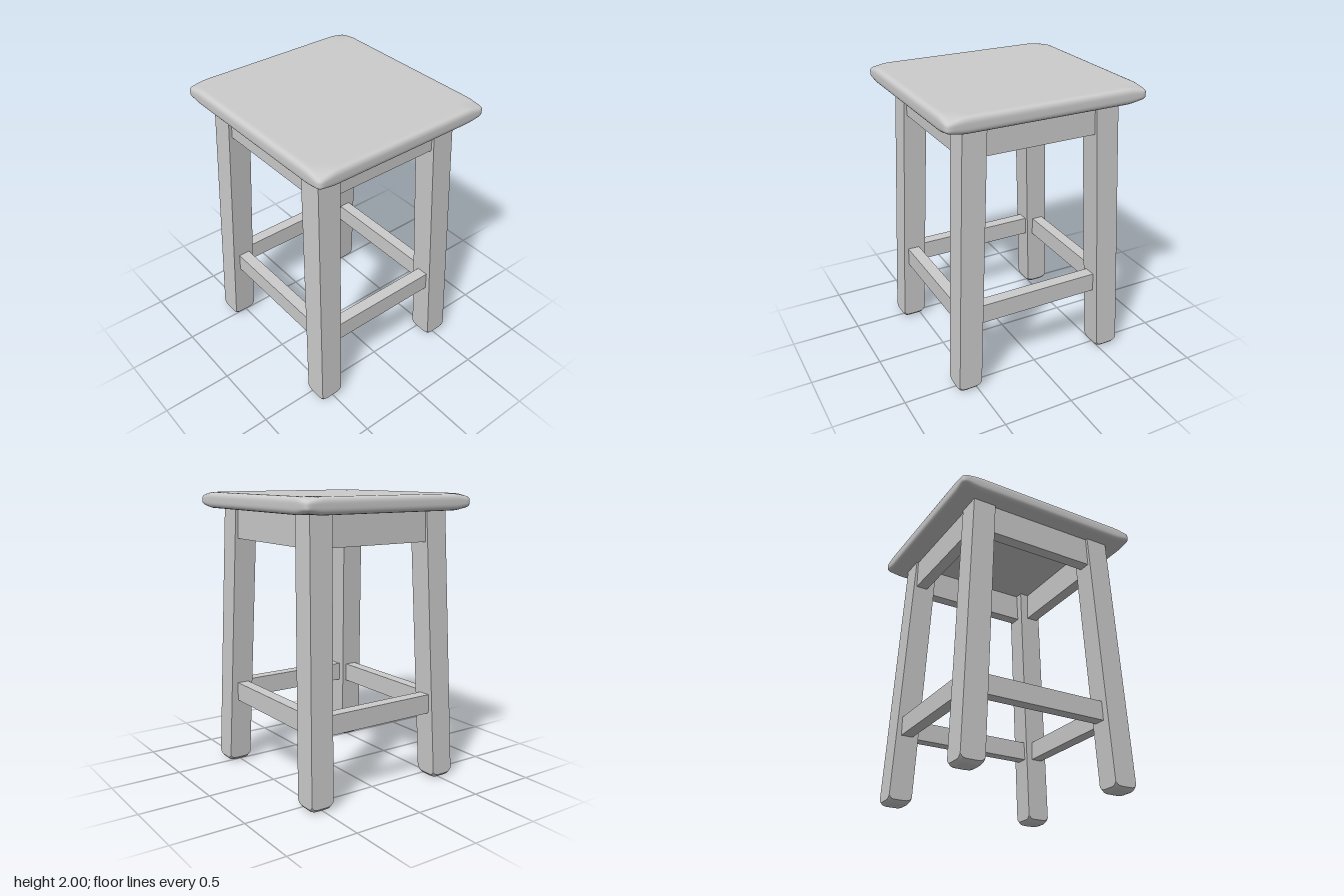
import * as THREE from 'three';
import { mergeVertices } from 'three/addons/utils/BufferGeometryUtils.js';

const material = new THREE.MeshStandardMaterial({ color: 0xcccccc });
const SEAT_BOTTOM = 1.89;
const LEG = 0.166;
const TOP = { x: 0.465, z: 0.472 };      // leg centres under the seat
const SLOPE = { x: 0.027, z: 0.046 };    // outward splay per unit of height

const legAt = (axis, y) => TOP[axis] + SLOPE[axis] * (SEAT_BOTTOM - y);

function addMesh(parent, name, geometry) {
  const mesh = new THREE.Mesh(geometry, material);
  mesh.name = name;
  parent.add(mesh);
  return mesh;
}

// Moves every vertex of a geometry by a rule
function reshape(geometry, rule) {
  const pos = geometry.attributes.position;
  const v = new THREE.Vector3();
  for (let i = 0; i < pos.count; i++) {
    rule(v.fromBufferAttribute(pos, i));
    pos.setXYZ(i, v.x, v.y, v.z);
  }
  geometry.computeVertexNormals();
  return geometry;
}

// Soft-edged slab, thinning slightly towards its four corners
function seatGeometry() {
  const half = new THREE.Vector3(0.66, 0.055, 0.7);
  const r = 0.036;
  const inner = half.clone().subScalar(r);
  const box = new THREE.BoxGeometry(2, 2, 2, 40, 8, 40);
  box.deleteAttribute('normal');
  box.deleteAttribute('uv');
  const near = (a, h) => THREE.MathUtils.smoothstep(Math.abs(a), h - 0.14, h);
  return reshape(mergeVertices(box), (v) => {
    // crowd the grid towards the edges, then round them
    v.set(Math.sin(v.x * Math.PI / 2), v.y, Math.sin(v.z * Math.PI / 2)).multiply(half);
    const core = v.clone().clamp(inner.clone().negate(), inner);
    v.sub(core).setLength(r).add(core);
    v.y *= 1 - 0.35 * near(v.x, half.x) * near(v.z, half.z);
  });
}

// Square splayed leg with a softly domed foot
function legGeometry(sx, sz) {
  const box = new THREE.BoxGeometry(LEG, SEAT_BOTTOM, LEG, 10, 1, 10);
  return reshape(box.translate(0, SEAT_BOTTOM / 2, 0), (v) => {
    if (v.y < 0.01) v.y = 0.025 * ((v.x * 2 / LEG) ** 6 + (v.z * 2 / LEG) ** 6);
    const y = v.y;
    v.x += sx * legAt('x', y);
    v.z += sz * legAt('z', y);
  });
}

// Board between two legs, its ends cut to the slope of the legs
function railGeometry(axis, y0, y1, thickness) {
  const end = (y) => legAt(axis, y) - LEG / 2 + 0.003;
  const shape = new THREE.Shape([
    new THREE.Vector2(-end(y0), y0), new THREE.Vector2(end(y0), y0),
    new THREE.Vector2(end(y1), y1), new THREE.Vector2(-end(y1), y1),
  ]);
  return new THREE.ExtrudeGeometry(shape, { depth: thickness, bevelEnabled: false })
    .translate(0, 0, -thickness / 2);
}

export function createModel() {
  const group = new THREE.Group();
  group.name = 'stool';

  addMesh(group, 'seat', seatGeometry()).position.y = 1.945;

  // Legs, aprons and stretchers share one slightly offset frame
  const frame = new THREE.Group();
  frame.name = 'frame';
  frame.position.set(-0.004, 0, -0.005);
  group.add(frame);

  for (const [sx, xName] of [[1, 'Left'], [-1, 'Right']]) {
    for (const [sz, zName] of [[1, 'front'], [-1, 'back']]) {
      addMesh(frame, `${zName}${xName}Leg`, legGeometry(sx, sz));
    }
  }

  // Rails: bottom, top, thickness, distance from centre to front/back and to sides
  const rails = [
    ['Apron', 1.68, SEAT_BOTTOM, 0.085, 0.5, 0.487],
    ['Stretcher', 0.48, 0.615, 0.085, 0.54, 0.492],
  ];
  for (const [name, y0, y1, t, z, x] of rails) {
    for (const s of [1, -1]) {
      addMesh(frame, (s > 0 ? 'front' : 'back') + name, railGeometry('x', y0, y1, t))
        .position.z = s * z;
      const side = addMesh(frame, (s > 0 ? 'left' : 'right') + name, railGeometry('z', y0, y1, t));
      side.position.x = s * x;
      side.rotation.y = Math.PI / 2;
    }
  }
  return group;
}
